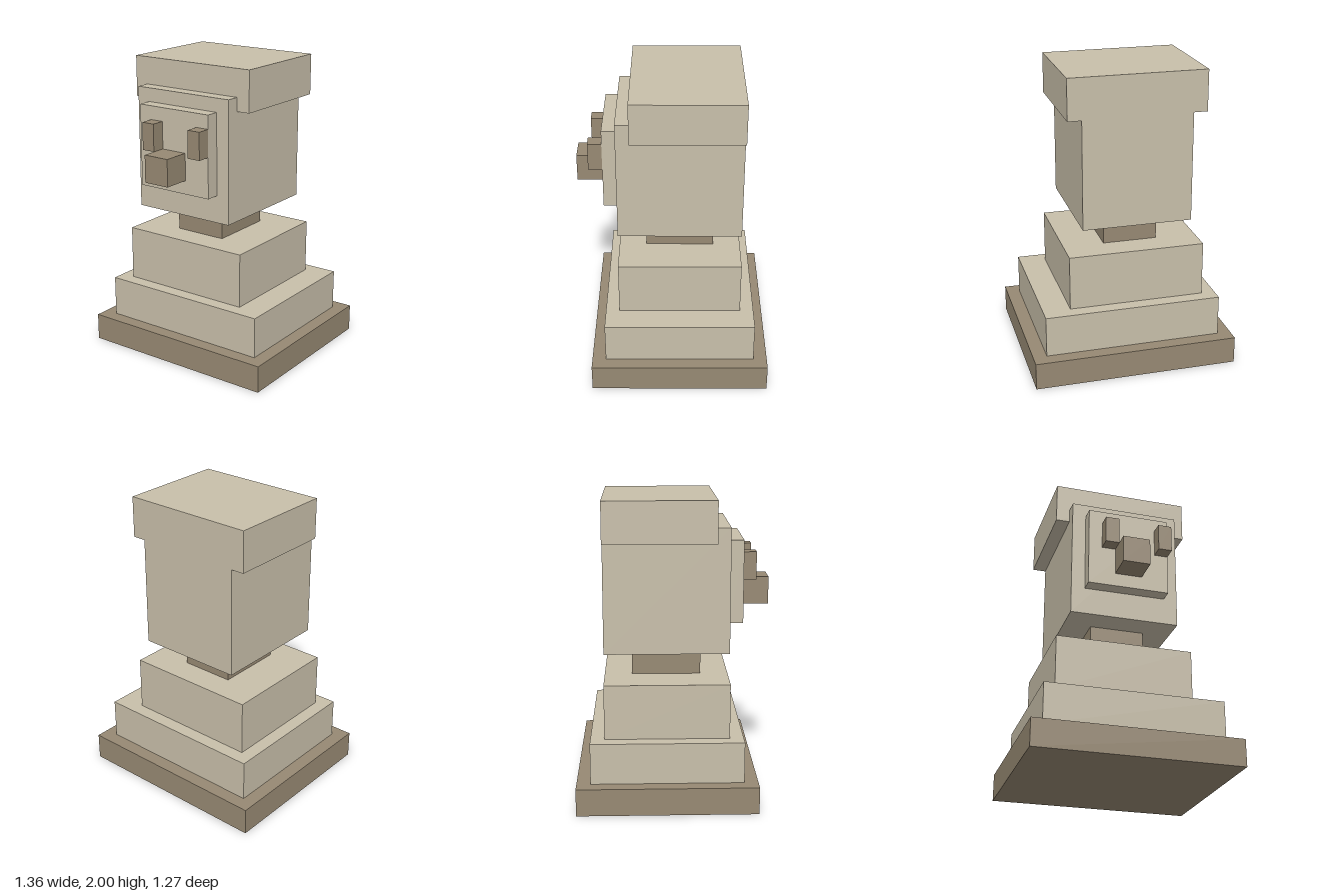
import * as THREE from 'three';

// All parts sit on a block grid, 22 blocks tall
const U = 1 / 11;

export function createModel() {
  const paleStone = new THREE.MeshStandardMaterial({ color: 0xc8bfaa });
  paleStone.name = 'pale stone';
  const darkStone = new THREE.MeshStandardMaterial({ color: 0x978973 });
  darkStone.name = 'dark stone';

  const model = new THREE.Group();
  model.name = 'statue';

  // Block between two grid corners
  function block(name, material, [x0, y0, z0], [x1, y1, z1], parent = model) {
    const geometry = new THREE.BoxGeometry((x1 - x0) * U, (y1 - y0) * U, (z1 - z0) * U);
    const mesh = new THREE.Mesh(geometry, material);
    mesh.name = name;
    mesh.position.set((x0 + x1) / 2 * U, (y0 + y1) / 2 * U, (z0 + z1) / 2 * U);
    parent.add(mesh);
  }

  // Stepped pedestal
  block('base', darkStone, [-7.5, 0, -7], [7.5, 2, 6]);
  block('lowerStep', paleStone, [-6.5, 2, -6], [6.5, 5, 5]);
  block('upperStep', paleStone, [-5.5, 5, -5], [4.5, 9, 4]);
  block('neck', darkStone, [-2.5, 9, -3], [1.5, 11, 2]);

  // Head with overhanging cap
  const head = new THREE.Group();
  head.name = 'head';
  model.add(head);
  block('skull', paleStone, [-4.5, 11, -5], [3.5, 20, 4], head);
  block('cap', paleStone, [-5.5, 19, -5], [4.5, 22, 3], head);

  // Face
  block('facePlate', paleStone, [-3.5, 13, 4], [2.5, 19, 5], head);
  block('rightEye', darkStone, [-2.5, 16, 5], [-1.5, 18, 6], head);
  block('leftEye', darkStone, [1.5, 16, 5], [2.5, 18, 6], head);
  block('nose', darkStone, [-1.5, 14, 5], [0.5, 16, 7], head);

  return model;
}
